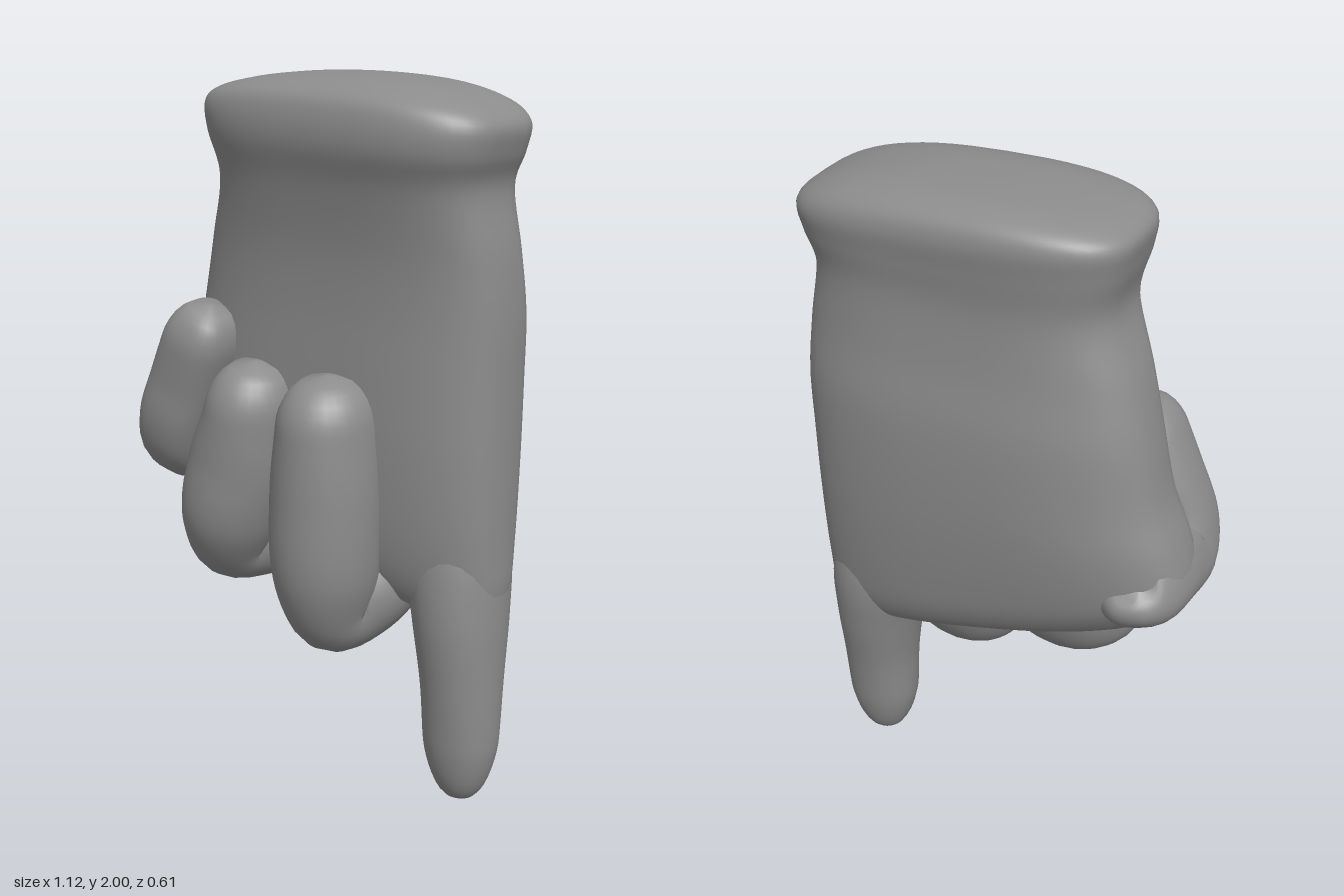
import * as THREE from 'three';

const material = new THREE.MeshStandardMaterial({ color: 0x8c8c8c });

// Smoothly resample a list of equal-length number rows.
function resample(rows, steps) {
  const out = [];
  const n = rows.length;
  for (let s = 0; s <= steps; s++) {
    const f = (s / steps) * (n - 1);
    const i = Math.min(Math.floor(f), n - 2);
    const t = f - i;
    const row = (k) => rows[Math.max(0, Math.min(n - 1, k))];
    out.push(rows[0].map((_, c) => {
      const a = row(i - 1)[c], b = row(i)[c], d = row(i + 1)[c], e = row(i + 2)[c];
      return b + 0.5 * t * (d - a + t * (2 * a - 5 * b + 4 * d - e + t * (3 * (b - d) + e - a)));
    }));
  }
  return out;
}

// Skin closed rings of Vector3 and close both ends with a centre point.
function skin(name, rings) {
  const m = rings[0].length;
  const pts = rings.flat();
  const index = [];
  for (let i = 0; i < rings.length - 1; i++) {
    for (let j = 0; j < m; j++) {
      const a = i * m + j, b = i * m + (j + 1) % m;
      index.push(a, b, a + m, b, b + m, a + m);
    }
  }
  [0, rings.length - 1].forEach((r) => {
    const centre = new THREE.Vector3();
    rings[r].forEach((p) => centre.addScaledVector(p, 1 / m));
    const c = pts.push(centre) - 1;
    for (let j = 0; j < m; j++) {
      const a = r * m + j, b = r * m + (j + 1) % m;
      if (r === 0) index.push(c, b, a);
      else index.push(c, a, b);
    }
  });
  const geometry = new THREE.BufferGeometry().setFromPoints(pts);
  geometry.setIndex(index);
  geometry.computeVertexNormals();
  const mesh = new THREE.Mesh(geometry, material);
  mesh.name = name;
  return mesh;
}

// Superellipse point; a higher power gives a boxier section.
function section(angle, power) {
  const c = Math.cos(angle), s = Math.sin(angle);
  return [
    Math.sign(c) * Math.abs(c) ** (2 / power),
    Math.sign(s) * Math.abs(s) ** (2 / power),
  ];
}

// Hand body from horizontal sections: y, xMin, xMax, zBack, zFront, tilt, bend, power
function body(name, rows) {
  const rings = resample(rows, 72).map(([y, x0, x1, z0, z1, tilt, bend, power]) => {
    const ring = [];
    for (let j = 0; j < 48; j++) {
      const [u, v] = section(-(j / 48) * Math.PI * 2, power);
      const x = (x0 + x1) / 2 + u * (x1 - x0) / 2;
      const z = (z0 + z1) / 2 + v * (z1 - z0) / 2;
      ring.push(new THREE.Vector3(x, y + tilt * x - bend * (x - 0.08) ** 2, z));
    }
    return ring;
  });
  return skin(name, rings);
}

// Finger swept along a path; rows: x, y, z, half width, half depth
function finger(name, side, power, rows, tip = 0.12) {
  const steps = 48;
  const samples = resample(rows, steps);
  const at = (i) => new THREE.Vector3(...samples[Math.max(0, Math.min(steps, i))].slice(0, 3));
  const rings = samples.map(([x, y, z, w, d], i) => {
    const t = at(i + 1).sub(at(i - 1)).normalize();
    const u = new THREE.Vector3(...side);
    u.addScaledVector(t, -u.dot(t)).normalize();
    const v = new THREE.Vector3().crossVectors(t, u);
    // round off the fingertip
    const k = Math.max(0, (i / steps - (1 - tip)) / tip);
    const r = Math.sqrt(Math.max(0.002, 1 - k * k));
    const ring = [];
    for (let j = 0; j < 28; j++) {
      const [a, b] = section((j / 28) * Math.PI * 2, power);
      ring.push(new THREE.Vector3(x, y, z).addScaledVector(u, a * w * r).addScaledVector(v, b * d * r));
    }
    return ring;
  });
  return skin(name, rings);
}

export function createModel() {
  const group = new THREE.Group();
  group.name = 'pointingGlove';

  // Palm with its flared cuff, knuckle edge first
  group.add(body('palmAndCuff', [
    [0.67, -0.28, 0.42, -0.14, 0.02, -0.28, 0, 2.3],
    [0.69, -0.45, 0.515, -0.20, 0.06, -0.28, 0, 2.4],
    [0.77, -0.54, 0.553, -0.25, 0.095, -0.26, 0, 2.6],
    [0.88, -0.555, 0.556, -0.275, 0.115, -0.18, 0, 2.8],
    [1.05, -0.525, 0.556, -0.295, 0.125, -0.08, 0, 2.8],
    [1.22, -0.475, 0.556, -0.303, 0.125, 0, 0, 2.7],
    [1.40, -0.435, 0.555, -0.30, 0.122, 0, 0, 2.7],
    [1.56, -0.39, 0.54, -0.28, 0.13, 0, 0, 2.8],
    [1.72, -0.33, 0.512, -0.27, 0.158, 0, 0, 3.1],
    [1.83, -0.352, 0.54, -0.28, 0.188, -0.04, 0, 3.2],
    [1.91, -0.36, 0.55, -0.288, 0.186, -0.045, 0.02, 3.2],
    [1.96, -0.31, 0.50, -0.268, 0.16, -0.035, 0.08, 3.2],
    [1.99, -0.22, 0.40, -0.21, 0.09, -0.02, 0.15, 3],
    [2.0, -0.08, 0.24, -0.12, 0.02, -0.01, 0.15, 2.6],
    [2.0, 0.07, 0.09, -0.06, -0.04, 0, 0, 2],
  ]));

  // Straight finger pointing down
  group.add(finger('pointingFinger', [1, 0, 0], 2.1, [
    [0.36, 1.05, -0.08, 0.08, 0.08],
    [0.385, 0.88, -0.085, 0.12, 0.125],
    [0.408, 0.72, -0.083, 0.14, 0.153],
    [0.43, 0.55, -0.07, 0.127, 0.147],
    [0.445, 0.36, -0.06, 0.113, 0.12],
    [0.45, 0.18, -0.055, 0.107, 0.10],
    [0.455, 0.005, -0.05, 0.09, 0.085],
  ], 0.18));

  // Curled fingers: out of the knuckle, forward, then back up to the palm
  group.add(finger('middleFinger', [1, 0, 0], 2, [
    [0.19, 0.90, -0.12, 0.14, 0.12],
    [0.185, 0.75, -0.09, 0.17, 0.13],
    [0.16, 0.61, 0.0, 0.15, 0.135],
    [0.125, 0.56, 0.10, 0.12, 0.135],
    [0.125, 0.69, 0.145, 0.148, 0.155],
    [0.127, 0.90, 0.145, 0.152, 0.16],
    [0.13, 1.08, 0.14, 0.137, 0.158],
    [0.13, 1.23, 0.15, 0.12, 0.135],
  ]));
  group.add(finger('ringFinger', [0.96, -0.27, 0], 2, [
    [-0.14, 0.96, -0.12, 0.14, 0.12],
    [-0.15, 0.83, -0.09, 0.17, 0.13],
    [-0.195, 0.71, 0.0, 0.155, 0.135],
    [-0.24, 0.685, 0.095, 0.125, 0.13],
    [-0.215, 0.79, 0.14, 0.145, 0.15],
    [-0.175, 0.94, 0.14, 0.15, 0.15],
    [-0.14, 1.08, 0.135, 0.13, 0.15],
    [-0.12, 1.23, 0.145, 0.115, 0.13],
  ]));
  // Little finger starts with a rounded knuckle at the back of the hand
  group.add(finger('littleFinger', [0.94, -0.33, 0], 2.5, [
    [-0.43, 1.0, -0.235, 0.03, 0.03],
    [-0.43, 0.985, -0.215, 0.09, 0.09],
    [-0.43, 0.97, -0.15, 0.12, 0.12],
    [-0.435, 0.957, -0.04, 0.127, 0.122],
    [-0.447, 0.945, 0.08, 0.11, 0.118],
    [-0.425, 1.02, 0.12, 0.113, 0.115],
    [-0.38, 1.13, 0.12, 0.113, 0.115],
    [-0.33, 1.25, 0.125, 0.108, 0.112],
    [-0.285, 1.365, 0.135, 0.10, 0.10],
  ]));

  return group;
}
